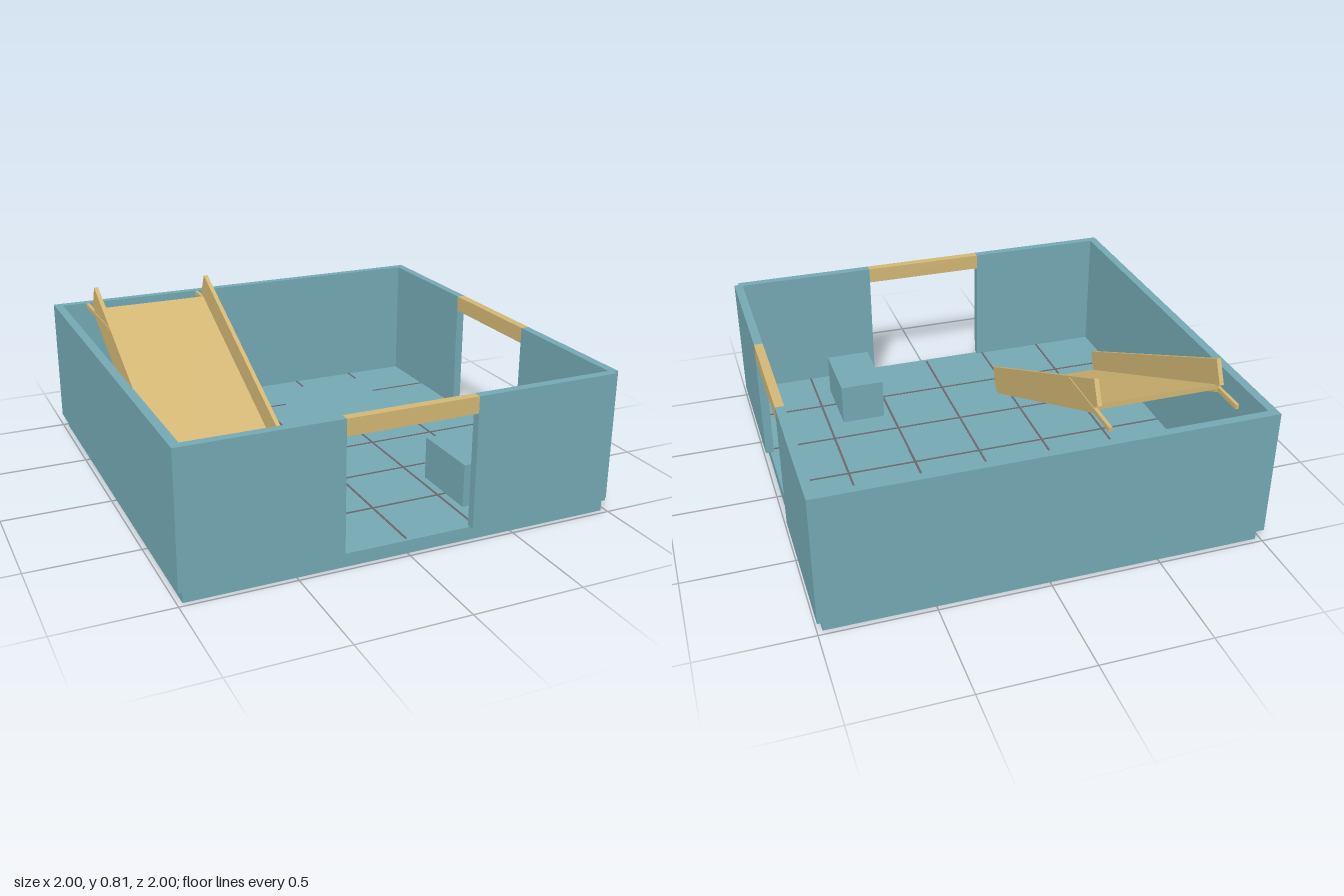
import * as THREE from 'three';

export function createModel() {
  const model = new THREE.Group();
  model.name = 'walledRoom';
  const teal = new THREE.MeshStandardMaterial({ color: 0x74a8b3 });
  teal.name = 'teal';
  const tan = new THREE.MeshStandardMaterial({ color: 0xd2b674 });
  tan.name = 'tan';
  const grey = new THREE.MeshStandardMaterial({ color: 0x6c666d });
  grey.name = 'joint grey';

  const add = (parent, name, geometry, material) => {
    const mesh = new THREE.Mesh(geometry, material);
    mesh.name = name;
    parent.add(mesh);
    return mesh;
  };
  // Box given by its extents on each axis
  const box = (parent, name, material, [x0, x1], [y0, y1], [z0, z1]) => {
    const g = new THREE.BoxGeometry(x1 - x0, y1 - y0, z1 - z0);
    g.translate((x0 + x1) / 2, (y0 + y1) / 2, (z0 + z1) / 2);
    return add(parent, name, g, material);
  };
  // Side profile in (z, y), extruded from x0 to x1
  const profile = (parent, name, points, x0, x1) => {
    const shape = new THREE.Shape(points.map(([z, y]) => new THREE.Vector2(z, y)));
    const g = new THREE.ExtrudeGeometry(shape, { depth: x1 - x0, bevelEnabled: false });
    g.rotateY(-Math.PI / 2).translate(x1, 0, 0);
    return add(parent, name, g, tan);
  };

  const floorTop = 0.06, top = 0.66, doorTop = 0.585;
  const outer = 1, inner = 0.96, end = 0.977, door = 0.297;
  const height = [floorTop, top];

  // Floor slab, slightly inset under the walls
  box(model, 'floor', teal, [-0.977, 0.977], [0, floorTop], [-0.977, 0.977]);

  // Solid back and left-hand walls
  box(model, 'backWall', teal, [-outer, outer], height, [-outer, -inner]);
  box(model, 'sideWall', teal, [-outer, -inner], height, [-inner, outer]);

  // Walls with doorways; the two meet in a notched corner
  box(model, 'frontWall', teal, [-inner, -door], height, [inner, outer]);
  box(model, 'frontWall', teal, [door, end], height, [inner, outer]);
  box(model, 'frontLintel', tan, [-door, door], [doorTop, top], [inner, outer]);
  box(model, 'doorWall', teal, [inner, outer], height, [-inner, -door]);
  box(model, 'doorWall', teal, [inner, outer], height, [door, end]);
  box(model, 'sideLintel', tan, [inner, outer], [doorTop, top], [-door, door]);

  // Joints between floor tiles, interrupted by one unbroken patch
  const joints = new THREE.Group();
  joints.name = 'floorJoints';
  model.add(joints);
  const w = 0.005, jointHeight = [floorTop, floorTop + 0.002];
  for (const p of [-0.652, -0.327, 0, 0.325, 0.652]) {
    const alongX = p < -0.5 ? [[-inner, 0.13], [0.655, inner]] : [[-inner, inner]];
    const alongZ = p > 0.2 ? [[-inner, -0.87], [-0.38, inner]] : [[-inner, inner]];
    for (const span of alongX) box(joints, 'jointAcross', grey, span, jointHeight, [p - w, p + w]);
    for (const span of alongZ) box(joints, 'jointAlong', grey, [p - w, p + w], jointHeight, span);
  }

  // Crate by the front corner
  box(model, 'crate', teal, [0.365, 0.577], [floorTop, 0.26], [0.463, 0.802]);

  // Sloping ramp with a board on either side and flat hooks at the top
  const ramp = new THREE.Group();
  ramp.name = 'ramp';
  model.add(ramp);
  profile(ramp, 'rampDeck', [[0.55, 0.08], [0.52, 0.065], [-0.74, 0.665], [-0.74, 0.69]], -0.832, -0.278);
  const board = [[0.58, 0.178], [0.53, 0.068], [0.484, 0.068], [-0.74, 0.652],
    [-0.74, 0.685], [-0.77, 0.7], [-0.72, 0.805]];
  for (const x of [-0.841, -0.276]) {
    profile(ramp, 'rampSideBoard', board, x - 0.01, x + 0.01);
    const outward = x + (x < -0.5 ? -0.006 : 0.006);
    box(ramp, 'rampHook', tan, [outward - 0.008, outward + 0.008], [0.655, 0.676], [-0.9, -0.46]);
  }
  return model;
}
